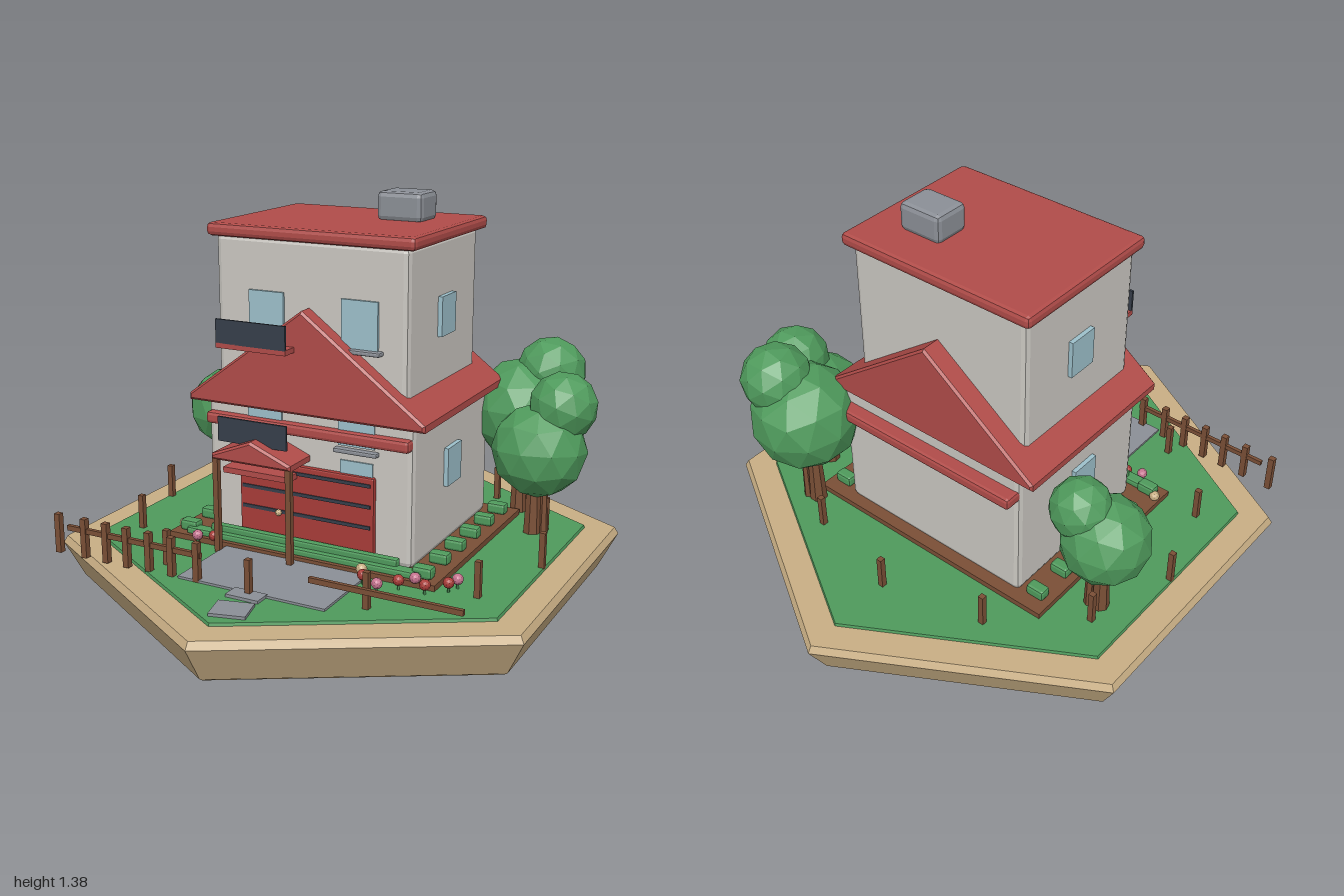
import * as THREE from 'three';
import { RoundedBoxGeometry } from 'three/addons/geometries/RoundedBoxGeometry.js';

const mat = (name, color) => {
  const m = new THREE.MeshStandardMaterial({ color, flatShading: true });
  m.name = name;
  return m;
};

export function createModel() {
  const wall = mat('plaster', 0xcac7c1), red = mat('roofRed', 0xb04c49), door = mat('doorRed', 0xa83c38);
  const sand = mat('sand', 0xc8ae84), green = mat('green', 0x4f9a5c), wood = mat('wood', 0x7a4f36);
  const dark = mat('darkPanel', 0x363e4a), glass = mat('glass', 0x9dc0cb), grey = mat('stone', 0x8b8f96);
  const pink = mat('petalPink', 0xc2708c);
  const model = new THREE.Group();

  const add = (name, geo, m, x = 0, y = 0, z = 0) => {
    const mesh = new THREE.Mesh(geo, m);
    mesh.name = name;
    mesh.position.set(x, y, z);
    model.add(mesh);
    return mesh;
  };
  // box given by its extents, with an optional chamfer
  const box = (name, m, x0, x1, y0, y1, z0, z1, bevel = 0) => {
    const s = [x1 - x0, y1 - y0, z1 - z0];
    const geo = bevel ? new RoundedBoxGeometry(...s, 1, bevel) : new THREE.BoxGeometry(...s);
    return add(name, geo, m, (x0 + x1) / 2, (y0 + y1) / 2, (z0 + z1) / 2);
  };
  // triangular roof running along z
  const gable = (name, cx, half, y0, y1, z0, z1, lip) => {
    const b = 0.008;
    const s = new THREE.Shape([[-half, y0 + b], [half, y0 + b], [half, y0 + lip], [0, y1 - b], [-half, y0 + lip]]
      .map(p => new THREE.Vector2(...p)));
    const geo = new THREE.ExtrudeGeometry(s, {
      depth: z1 - z0 - 2 * b, bevelEnabled: true, bevelThickness: b, bevelSize: b, bevelSegments: 1 });
    add(name, geo, red, cx, 0, z0 + b);
  };

  // Hexagonal island and lawn
  const hex = pts => new THREE.LatheGeometry(pts.map(p => new THREE.Vector2(...p)), 6);
  add('islandBase', hex([[0, 0], [0.915, 0], [0.93, 0.01], [1, 0.135], [0.985, 0.16], [0, 0.16]]), sand);
  add('lawn', hex([[0.877, 0.155], [0.872, 0.17], [0, 0.17]]), green);

  // Garden bed, driveway and stepping stones
  box('gardenBed', wood, -0.51, 0.51, 0.165, 0.19, -0.43, 0.35);
  box('driveway', grey, -0.275, 0.27, 0.165, 0.178, 0.34, 0.64);
  box('driveStep', grey, -0.06, 0.06, 0.165, 0.18, 0.63, 0.69);
  box('steppingStone', grey, -0.045, 0.075, 0.165, 0.18, 0.72, 0.82).rotation.y = 0.25;

  // House body
  box('lowerStorey', wall, -0.39, 0.39, 0.185, 0.7, -0.39, 0.262, 0.02);
  box('upperStorey', wall, -0.357, 0.357, 0.6, 1.245, -0.322, 0.24, 0.02);
  gable('mainRoof', 0, 0.435, 0.67, 1.02, -0.395, 0.3, 0.02);
  box('topRoof', red, -0.385, 0.385, 1.235, 1.28, -0.348, 0.258, 0.015);
  box('frontEave', red, -0.385, 0.385, 0.59, 0.633, 0.24, 0.29, 0.012);
  box('backEave', red, -0.385, 0.385, 0.59, 0.633, -0.444, -0.37, 0.012);
  box('chimney', grey, 0.088, 0.257, 1.275, 1.376, -0.205, -0.068, 0.018);

  // Front windows and sills
  for (const x of [-0.16, 0.187]) {
    box('upperWindow', glass, x - 0.066, x + 0.066, 0.905, 1.065, 0.235, 0.249);
    box('middleWindow', glass, x - 0.066, x + 0.066, 0.58, 0.69, 0.257, 0.268);
    box('lowerWindow', glass, x - 0.06, x + 0.06, 0.4, 0.53, 0.257, 0.268);
  }
  box('upperSill', grey, 0.115, 0.27, 0.89, 0.905, 0.235, 0.27, 0.005);
  box('lowerSill', grey, 0.108, 0.268, 0.557, 0.573, 0.255, 0.285, 0.005);

  // Side windows
  for (const s of [-1, 1]) {
    for (const [x, y] of [[0.362, 0.985], [0.395, 0.467]]) {
      add('sideWindow', new THREE.BoxGeometry(0.022, 0.135, 0.115), glass, s * x, y, -0.047);
    }
  }

  // Balcony and porch boards
  box('balconyFloor', red, -0.29, -0.025, 0.882, 0.9, 0.23, 0.358);
  box('balconyBoard', dark, -0.29, -0.025, 0.898, 0.98, 0.35, 0.358);
  box('porchBoard', dark, -0.29, -0.025, 0.56, 0.645, 0.35, 0.358);

  // Porch
  gable('porchRoof', -0.142, 0.145, 0.505, 0.585, 0.25, 0.4, 0.014);
  box('porchLintel', red, -0.285, -0.03, 0.442, 0.462, 0.26, 0.34);
  for (const x of [-0.282, 0]) box('porchPost', wood, x - 0.01, x + 0.01, 0.17, 0.51, 0.375, 0.395);

  // Garage door with dark grooves and a handle
  box('garageDoor', door, -0.257, 0.257, 0.19, 0.485, 0.255, 0.278, 0.006);
  for (const y of [0.312, 0.385, 0.458]) box('doorGroove', dark, -0.245, 0.245, y - 0.006, y + 0.006, 0.275, 0.282);
  add('doorHandle', new THREE.IcosahedronGeometry(0.012, 1), sand, -0.1, 0.31, 0.287);

  // Hedges
  box('frontHedge', green, -0.45, 0.45, 0.185, 0.212, 0.29, 0.335, 0.008);
  box('frontHedgeTop', green, -0.36, 0.36, 0.2, 0.235, 0.285, 0.315, 0.008);
  for (const s of [-1, 1]) {
    for (let i = 0; i < 6; i++) {
      add('sideHedge', new RoundedBoxGeometry(0.07, 0.04, 0.045, 1, 0.01), green, s * 0.45, 0.21, 0.3 - i * 0.132);
    }
  }

  // Ring of short posts around the lawn
  for (let i = 0; i < 12; i++) {
    const a = i * Math.PI / 6;
    add('lawnPost', new THREE.BoxGeometry(0.02, 0.13, 0.02), wood, 0.747 * Math.sin(a), 0.228, 0.645 * Math.cos(a));
  }

  // Front fence
  box('leftRail', wood, -0.73, -0.19, 0.252, 0.27, 0.622, 0.636);
  box('rightRail', wood, 0.21, 0.725, 0.252, 0.27, 0.622, 0.636);
  for (const x of [-0.77, -0.66, -0.57, -0.485, -0.395, -0.305, -0.205]) {
    box('fencePost', wood, x - 0.011, x + 0.011, 0.165, 0.305, 0.619, 0.641);
  }

  // Flowers
  const flowers = [
    [0.28, 0.4, door], [0.35, 0.44, pink], [0.4, 0.385, door], [0.44, 0.345, pink], [0.49, 0.38, door],
    [0.55, 0.33, door], [0.565, 0.29, pink], [0.255, 0.36, sand], [-0.385, 0.36, pink], [-0.49, 0.285, sand],
    [-0.33, 0.34, door]];
  for (const [x, z, m] of flowers) {
    add('flowerStem', new THREE.CylinderGeometry(0.005, 0.005, 0.035, 5), green, x, 0.18, z);
    add('flowerHead', new THREE.IcosahedronGeometry(0.019, 1), m, x, 0.202, z);
  }

  // Trees: trunk, large crown, small upper crown as [x, y, z, r]
  const trees = [
    [[-0.63, -0.25], [-0.635, 0.48, -0.25, 0.155], [-0.555, 0.59, -0.28, 0.108]],
    [[0.61, -0.285], [0.62, 0.475, -0.3, 0.17], [0.69, 0.635, -0.335, 0.122]],
    [[0.49, -0.47], [0.5, 0.56, -0.48, 0.195], [0.58, 0.705, -0.52, 0.128]]];
  for (const [[x, z], ...crowns] of trees) {
    add('treeTrunk', new THREE.CylinderGeometry(0.022, 0.032, 0.26, 7), wood, x, 0.295, z);
    add('treeBranch', new THREE.CylinderGeometry(0.012, 0.018, 0.24, 6), wood, x + 0.035, 0.285, z - 0.015);
    crowns.forEach(([cx, cy, cz, r], i) => {
      add('treeCrown', new THREE.IcosahedronGeometry(r, 1), green, cx, cy, cz).rotation.set(i, x * 3, 0.4);
    });
  }
  return model;
}
